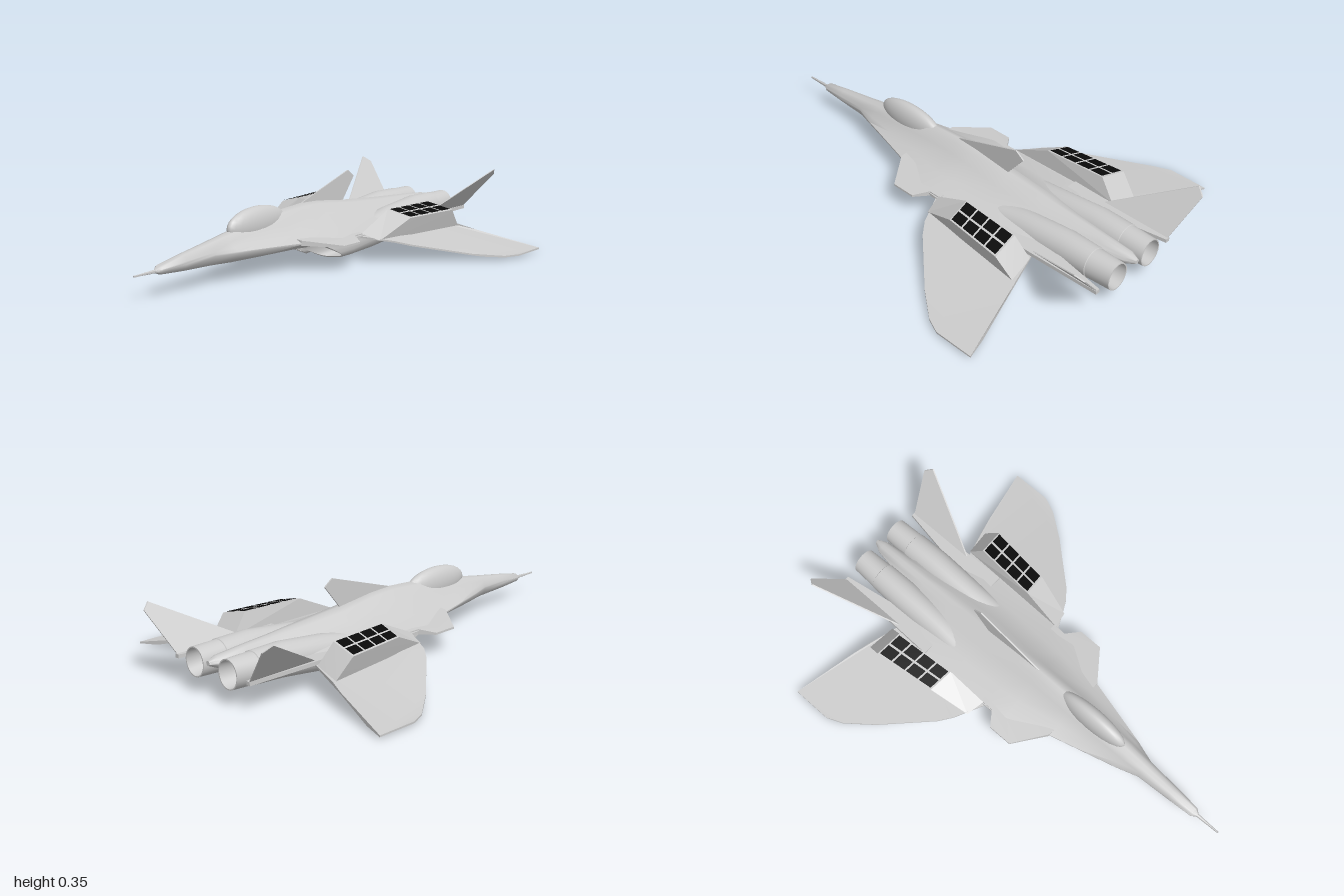
import * as THREE from 'three';
import { toCreasedNormals } from 'three/addons/utils/BufferGeometryUtils.js';

const grey = new THREE.MeshStandardMaterial({ color: 0xcccccc });
const greyThin = new THREE.MeshStandardMaterial({ color: 0xcccccc, side: THREE.DoubleSide });
const black = new THREE.MeshStandardMaterial({ color: 0x0a0a0a, side: THREE.DoubleSide });

function mesh(name, geometry, material = grey) {
  const m = new THREE.Mesh(geometry, material);
  m.name = name;
  return m;
}

// Skin between closed rings of [x, y, z], ordered front to back, with end caps
function loft(rings, crease = 0.6) {
  const n = rings[0].length, idx = [];
  for (let i = 0; i < rings.length - 1; i++) {
    for (let j = 0; j < n; j++) {
      const a = i * n + j, b = i * n + (j + 1) % n;
      idx.push(a, b, a + n, b, b + n, a + n);
    }
  }
  const last = (rings.length - 1) * n;
  for (let j = 1; j < n - 1; j++) idx.push(0, j + 1, j, last, last + j, last + j + 1);
  const g = new THREE.BufferGeometry();
  g.setAttribute('position', new THREE.Float32BufferAttribute(rings.flat(2), 3));
  g.setIndex(idx);
  return toCreasedNormals(g, crease);
}

// Thin slab from a 2D outline; place(a, b, t) puts each corner in space
function plate(outline, thickness, place) {
  const shape = new THREE.Shape(outline.map(([a, b]) => new THREE.Vector2(a, b)));
  const g = new THREE.ExtrudeGeometry(shape, { depth: thickness, bevelEnabled: false });
  const p = g.attributes.position;
  for (let i = 0; i < p.count; i++) {
    p.setXYZ(i, ...place(p.getX(i), p.getY(i), p.getZ(i) - thickness / 2));
  }
  return toCreasedNormals(g, 0.5);
}

// Blended body section: half width w, edge height e, top, bottom, spine half width s
function bodyRing([z, w, e, top, bottom, s]) {
  const h = top - e, d = e - bottom;
  const half = [
    [0.55 * s, top - 0.08 * h], [s, top - 0.4 * h], [(s + w) / 2, e + 0.25 * h],
    [w, e + 0.003], [w, e - 0.003], [0.8 * w, e - 0.6 * d], [0.44 * w, e - 0.92 * d],
  ];
  const left = half.map(([x, y]) => [x, y, z]);
  const right = half.map(([x, y]) => [-x, y, z]).reverse();
  return [[0, top, z], ...left, [0, bottom, z], ...right];
}

// Engine section: power < 1 is boxy, rake leans the ring, tilt raises the outer side
function engineRing([z, cx, cy, rx, ry, power, rake, tilt]) {
  const f = (v) => Math.sign(v) * Math.abs(v) ** power;
  return Array.from({ length: 24 }, (_, i) => {
    const t = (i / 24) * Math.PI * 2, u = f(Math.sin(t)), v = f(Math.cos(t));
    return [cx + rx * u, cy + ry * v + tilt * u * rx, z + rake * v];
  });
}

// Box launcher with a slanted top carrying two rows of four open cells
function launcher() {
  const group = new THREE.Group();
  group.name = 'launcherPod';
  const inF = [0.245, 0.205, -0.285], outF = [0.355, 0.178, -0.3];
  const outR = [0.388, 0.178, -0.585], inR = [0.265, 0.205, -0.57];
  group.add(mesh('podBody', loft([
    [inF, outF, [0.315, 0.1, -0.13], [0.235, 0.125, -0.11]],
    [inR, outR, [0.372, 0.095, -0.66], [0.25, 0.12, -0.64]],
  ], 0.1)));
  const at = (u, v) => [0, 1, 2].map((k) =>
    (1 - v) * ((1 - u) * inF[k] + u * outF[k]) + v * ((1 - u) * inR[k] + u * outR[k]) + (k === 1 ? 0.003 : 0));
  const pos = [], idx = [];
  for (let i = 0; i < 2; i++) {
    for (let j = 0; j < 4; j++) {
      const u0 = 0.05 + i * 0.49, v0 = 0.025 + j * 0.245, u1 = u0 + 0.41, v1 = v0 + 0.215;
      const k = pos.length / 3;
      pos.push(...at(u0, v0), ...at(u1, v0), ...at(u1, v1), ...at(u0, v1));
      idx.push(k, k + 1, k + 2, k, k + 2, k + 3);
    }
  }
  const cells = new THREE.BufferGeometry();
  cells.setAttribute('position', new THREE.Float32BufferAttribute(pos, 3));
  cells.setIndex(idx);
  cells.computeVertexNormals();
  group.add(mesh('launchCells', cells, black));
  return group;
}

function side(name) {
  const group = new THREE.Group();
  group.name = name;

  // Engine tube: recessed intake, raked lip, nacelle, nozzle and its hollow
  group.add(mesh('engineNacelle', loft([
    [-0.12, 0.1, 0.055, 0.055, 0.04, 0.6, 0.08, 0.15],
    [0.01, 0.1, 0.055, 0.064, 0.045, 0.6, 0.11, 0.15],
    [0.005, 0.1, 0.055, 0.069, 0.05, 0.6, 0.11, 0.15],
    [-0.15, 0.1, 0.058, 0.07, 0.052, 0.65, 0, 0.12],
    [-0.32, 0.1, 0.08, 0.066, 0.067, 0.8, 0, 0.05],
    [-0.48, 0.1, 0.1, 0.066, 0.075, 1, 0, 0],
    [-0.7, 0.1, 0.125, 0.068, 0.073, 1, 0, 0],
    [-0.84, 0.1, 0.128, 0.064, 0.068, 1, 0, 0],
    [-0.842, 0.1, 0.128, 0.061, 0.065, 1, 0, 0],
    [-0.957, 0.1, 0.13, 0.056, 0.062, 1, 0, 0],
    [-0.957, 0.1, 0.13, 0.051, 0.057, 1, 0, 0],
    [-0.85, 0.1, 0.13, 0.046, 0.05, 1, 0, 0],
  ].map(engineRing))));

  // Drooping outer wing, flattening at the tip
  const wingY = (x) => (x < 0.365 ? 0.115 - (x - 0.2) * 0.115 : Math.max(0.014, 0.096 - (x - 0.365) * 0.275));
  group.add(mesh('wing', plate([
    [0.2, -0.1], [0.24, -0.1], [0.365, -0.165], [0.42, -0.21], [0.6, -0.41], [0.63, -0.45], [0.69, -0.53],
    [0.72, -0.6], [0.72, -0.78], [0.63, -0.755], [0.44, -0.7], [0.365, -0.675], [0.2, -0.62],
  ], 0.007, (x, z, t) => [x, wingY(x) + t, z]), greyThin));

  // Shoulder in front of the wing
  group.add(mesh('shoulder', plate([
    [0.1, 0.2], [0.155, 0.2], [0.295, 0.095], [0.295, -0.015], [0.235, -0.06], [0.235, -0.12], [0.1, -0.12],
  ], 0.022, (x, z, t) => [x, 0.122 - (x - 0.15) * 0.1 + t * (x > 0.25 ? 0.4 : 1), z]), greyThin));

  // Flat boom outside the engine, carrying the canted tail
  group.add(mesh('tailBoom', plate([
    [0.14, -0.45], [0.24, -0.45], [0.225, -0.955], [0.205, -0.955], [0.165, -0.72], [0.14, -0.6],
  ], 0.016, (x, z, t) => [x, 0.125 + t, z]), greyThin));
  group.add(mesh('cantedTail', plate([
    [-0.5, 0.12], [-0.62, 0.128], [-0.965, 0.315], [-1, 0.29], [-0.95, 0.13],
  ], 0.006, (z, y, t) => [0.21 + (y - 0.12) * 0.85 + t, y, z]), greyThin));

  group.add(launcher());
  return group;
}

export function createModel() {
  const model = new THREE.Group();
  model.name = 'jet';

  // Probe, nose, blended body and tail sting in one skin
  model.add(mesh('fuselage', loft([
    [1, 0.003, 0.104, 0.107, 0.101, 0.0024],
    [0.89, 0.007, 0.105, 0.112, 0.098, 0.0056],
    [0.87, 0.022, 0.108, 0.126, 0.089, 0.018],
    [0.75, 0.032, 0.115, 0.148, 0.081, 0.026],
    [0.6, 0.042, 0.122, 0.172, 0.076, 0.034],
    [0.5, 0.075, 0.122, 0.19, 0.073, 0.04],
    [0.35, 0.115, 0.12, 0.212, 0.073, 0.047],
    [0.2, 0.155, 0.118, 0.236, 0.078, 0.05],
    [0, 0.235, 0.115, 0.249, 0.086, 0.05],
    [-0.1, 0.24, 0.115, 0.245, 0.09, 0.055],
    [-0.3, 0.24, 0.115, 0.222, 0.09, 0.07],
    [-0.5, 0.235, 0.12, 0.206, 0.095, 0.06],
    [-0.66, 0.165, 0.125, 0.195, 0.1, 0.04],
    [-0.8, 0.05, 0.14, 0.186, 0.11, 0.03],
    [-0.93, 0.03, 0.15, 0.175, 0.125, 0.024],
    [-0.97, 0.01, 0.153, 0.163, 0.143, 0.008],
  ].map(bodyRing), 0.9)));

  const canopy = mesh('canopy', new THREE.SphereGeometry(1, 24, 16));
  canopy.scale.set(0.044, 0.075, 0.18);
  canopy.position.set(0, 0.2, 0.3);
  model.add(canopy);

  model.add(mesh('centreFin', plate(
    [[0.02, 0.235], [0, 0.25], [-0.325, 0.352], [-0.367, 0.322], [-0.28, 0.215]],
    0.006, (z, y, t) => [t, y, z]), greyThin));

  const right = side('rightSide');
  right.scale.x = -1;
  model.add(side('leftSide'), right);
  return model;
}
